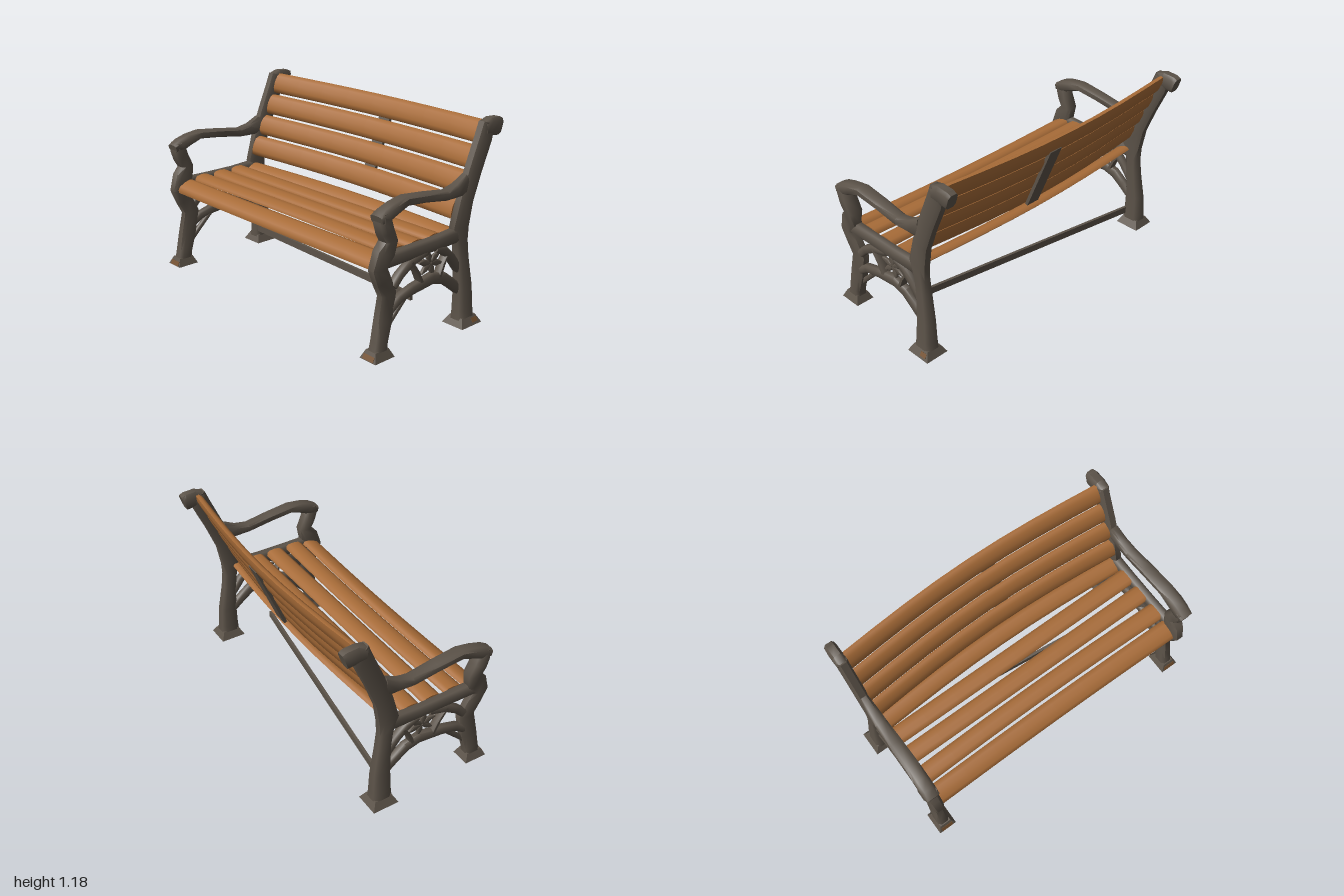
import * as THREE from 'three';
import { toCreasedNormals } from 'three/addons/utils/BufferGeometryUtils.js';

const iron = new THREE.MeshStandardMaterial({ color: 0x5c5349 });
iron.name = 'dark iron';
const wood = new THREE.MeshStandardMaterial({ color: 0xa86c38 });
wood.name = 'warm wood';
const rust = new THREE.MeshStandardMaterial({ color: 0x74502f });
rust.name = 'rust';

// Unit sections spanning -1..1: chamfered cast bar, and slat domed on its upper face
const BAR = [[1, 0.6], [0.6, 1], [-0.6, 1], [-1, 0.6], [-1, -0.6], [-0.6, -1], [0.6, -1], [1, -0.6]];
const SLAT = [[1, -0.5], [0.93, 0.25], [0.6, 0.8], [0, 1], [-0.6, 0.8], [-0.93, 0.25], [-1, -0.5], [-0.5, -1], [0.5, -1]];

// Closed solid through a list of equal-length rings of Vector3
function loft(name, rings, material) {
  const n = rings[0].length, last = rings.length - 1;
  const tris = [];
  for (let i = 0; i < last; i++) {
    for (let j = 0; j < n; j++) {
      const k = (j + 1) % n;
      const a = rings[i][j], b = rings[i][k], c = rings[i + 1][k], d = rings[i + 1][j];
      tris.push([a, b, c], [a, c, d]);
    }
  }
  for (let j = 1; j < n - 1; j++) {
    tris.push([rings[0][0], rings[0][j + 1], rings[0][j]]);
    tris.push([rings[last][0], rings[last][j], rings[last][j + 1]]);
  }
  // Turn the faces outward whichever way the rings run
  const cross = new THREE.Vector3();
  const volume = tris.reduce((s, [a, b, c]) => s + a.dot(cross.crossVectors(b, c)), 0);
  if (volume < 0) tris.forEach((t) => t.reverse());
  const geo = new THREE.BufferGeometry().setFromPoints(tris.flat());
  const mesh = new THREE.Mesh(toCreasedNormals(geo, 0.95), material);
  mesh.name = name;
  return mesh;
}

// Cast bar in the side plane; stations are [z, y, width, x, thickness]
function bar(name, side, stations) {
  const rings = stations.map(([z, y, w, x = 0.91, t = 0.05], i) => {
    const p = stations[Math.max(i - 1, 0)], q = stations[Math.min(i + 1, stations.length - 1)];
    const len = Math.hypot(q[0] - p[0], q[1] - p[1]);
    const nz = -(q[1] - p[1]) / len, ny = (q[0] - p[0]) / len;
    return BAR.map(([a, b]) => new THREE.Vector3(
      side * (x + b * t / 2), y + ny * a * w / 2, z + nz * a * w / 2));
  });
  return loft(name, rings, iron);
}

// Square flared foot standing on the ground
function foot(name, side, x, z, baseX, baseZ) {
  const rings = [[0, 1, 1], [0.05, 0.62, 0.68]].map(([y, kx, kz]) =>
    [[1, 1], [-1, 1], [-1, -1], [1, -1]].map(([a, b]) => new THREE.Vector3(
      side * (x + a * kx * baseX / 2), y, z + b * kz * baseZ / 2)));
  return loft(name, rings, iron);
}

// Plain box, centred on a point
function box(name, size, position, material) {
  const mesh = new THREE.Mesh(new THREE.BoxGeometry(...size), material);
  mesh.name = name;
  mesh.position.set(...position);
  return mesh;
}

// Wooden slat along x; bowZ and bowY shift its middle
function slat(name, z, y, angle, width, thick, bowZ, bowY) {
  const rings = [];
  const c = Math.cos(angle), s = Math.sin(angle);
  for (let i = 0; i <= 8; i++) {
    const x = -0.885 + 1.77 * i / 8;
    const bend = Math.cos(x / 0.885 * Math.PI / 2);
    rings.push(SLAT.map(([a, b]) => {
      const u = a * width / 2, v = b * thick / 2;
      return new THREE.Vector3(x, y + bowY * bend + u * s + v * c, z + bowZ * bend - u * c + v * s);
    }));
  }
  return loft(name, rings, wood);
}

function sideFrame(name, s) {
  const g = new THREE.Group();
  g.name = name;
  g.add(
    foot('rearFoot', s, 0.924, -0.245, 0.152, 0.168),
    foot('frontFoot', s, 0.905, 0.428, 0.12, 0.146),
    // Rear leg running up into the raked back post
    bar('rearLegAndPost', s, [
      [-0.243, 0.015, 0.13, 0.925, 0.105], [-0.243, 0.09, 0.118, 0.922, 0.092],
      [-0.242, 0.22, 0.108, 0.918, 0.082], [-0.225, 0.4, 0.086, 0.91, 0.072], [-0.214, 0.5, 0.088, 0.908, 0.068],
      [-0.2, 0.59, 0.125, 0.908, 0.066], [-0.236, 0.74, 0.108, 0.91, 0.066], [-0.297, 0.9, 0.11, 0.91, 0.066],
      [-0.372, 1.07, 0.112, 0.91, 0.066], [-0.4, 1.155, 0.1, 0.91, 0.066]]),
    // Squared head of the post
    bar('postHead', s, [
      [-0.365, 1.128, 0.08, 0.91, 0.068], [-0.41, 1.134, 0.1, 0.912, 0.07],
      [-0.475, 1.128, 0.104, 0.912, 0.07], [-0.493, 1.122, 0.096, 0.912, 0.066]]),
    // Front leg with its scrolled upright
    bar('frontLegAndUpright', s, [
      [0.428, 0.015, 0.1, 0.905, 0.08], [0.416, 0.09, 0.09, 0.905, 0.078],
      [0.39, 0.2, 0.104, 0.903, 0.07], [0.36, 0.35, 0.106, 0.9, 0.064], [0.405, 0.44, 0.1, 0.903, 0.066],
      [0.436, 0.51, 0.105, 0.906, 0.072], [0.4, 0.59, 0.125, 0.91, 0.08], [0.372, 0.66, 0.085, 0.915, 0.09],
      [0.402, 0.72, 0.085, 0.917, 0.092], [0.42, 0.775, 0.085, 0.917, 0.09], [0.43, 0.825, 0.045, 0.916, 0.084]]),
    // Armrest
    bar('armrest', s, [
      [0.462, 0.79, 0.05, 0.916, 0.084], [0.41, 0.806, 0.075, 0.916, 0.09], [0.345, 0.83, 0.068, 0.916, 0.09],
      [0.26, 0.851, 0.052, 0.913, 0.084], [0.1, 0.833, 0.05, 0.912, 0.08], [-0.06, 0.808, 0.054, 0.912, 0.074],
      [-0.15, 0.815, 0.075, 0.91, 0.066], [-0.24, 0.835, 0.12, 0.91, 0.056]]),
    bar('seatRail', s, [
      [0.42, 0.545, 0.08, 0.906, 0.065], [0.2, 0.543, 0.076, 0.906, 0.06], [0, 0.543, 0.076, 0.906, 0.06],
      [-0.2, 0.55, 0.085, 0.906, 0.062]]),
    // Arched braces between the legs
    bar('lowerArch', s, [
      [0.35, 0.255, 0.05], [0.28, 0.3, 0.05], [0.18, 0.325, 0.058], [0.02, 0.345, 0.066],
      [-0.07, 0.322, 0.066], [-0.14, 0.27, 0.062], [-0.22, 0.205, 0.06]]),
    bar('frontUpperArch', s, [
      [0.33, 0.385, 0.05], [0.28, 0.435, 0.05], [0.2, 0.485, 0.05], [0.08, 0.515, 0.04]]),
    bar('rearUpperArch', s, [
      [0, 0.515, 0.04], [-0.07, 0.485, 0.05], [-0.135, 0.425, 0.05], [-0.2, 0.34, 0.05]]),
    bar('frontStrut', s, [[0.2, 0.49, 0.024], [0.15, 0.42, 0.026], [0.11, 0.34, 0.03]]),
    bar('rearStrut', s, [[-0.1, 0.47, 0.024], [-0.06, 0.41, 0.026], [-0.03, 0.34, 0.03]]),
    bar('legGusset', s, [[0.375, 0.14, 0.03, 0.9, 0.03], [0.3, 0.215, 0.03, 0.9, 0.03], [0.2, 0.31, 0.03, 0.9, 0.03]]));
  // Flower ornament under the seat
  for (let i = 0; i < 6; i++) {
    const a = i * Math.PI / 3 + 0.3, dz = Math.cos(a), dy = Math.sin(a);
    g.add(bar('ornamentPetal', s, [[0.005, 0.016], [0.05, 0.04], [0.095, 0.012]].map(
      ([r, w]) => [0.035 + dz * r, 0.44 + dy * r * 0.75, w, 0.91, 0.02])));
  }
  // Rust on the sloping front of the front foot
  const patch = box('footRust', [0.08, 0.03, 0.004], [s * 0.905, 0.017, 0.494], rust);
  patch.rotation.x = -0.437;
  g.add(patch);
  return g;
}

export function createModel() {
  const model = new THREE.Group();
  model.name = 'parkBench';
  model.add(sideFrame('leftFrame', 1), sideFrame('rightFrame', -1));

  // Rust on the outside of the left rear foot
  const patch = box('footRust', [0.004, 0.028, 0.045], [0.986, 0.025, -0.28], rust);
  patch.rotation.z = 0.525;
  model.add(patch);

  // Seat slats, the front one rolled downward and the rear one tipped up
  model.add(
    slat('frontSeatSlat', 0.405, 0.54, 0.4, 0.132, 0.05, -0.01, -0.008),
    slat('seatSlat', 0.268, 0.566, 0.05, 0.12, 0.042, -0.014, 0),
    slat('seatSlat', 0.118, 0.566, 0, 0.12, 0.042, 0, 0),
    slat('seatSlat', -0.025, 0.566, 0, 0.118, 0.042, 0, 0),
    slat('rearSeatSlat', -0.142, 0.55, 0.45, 0.115, 0.042, -0.04, 0));

  // Back slats, raked and bowed rearward
  for (let i = 0; i < 4; i++) {
    model.add(slat('backSlat', -0.19 - i * 0.063, 0.7 + i * 0.135, 1.16, 0.136, 0.048, -0.055, -0.006));
  }

  // Upright strap behind the back slats
  const strap = box('backStrap', [0.09, 0.46, 0.02], [0.105, 0.86, -0.354], iron);
  strap.rotation.x = -0.39;
  model.add(strap);

  // Loose stretcher, fixed to one rear leg only
  const from = new THREE.Vector3(-0.89, 0.098, -0.2), to = new THREE.Vector3(0.75, 0.174, 0);
  const middle = from.clone().lerp(to, 0.5);
  const stretcher = box('stretcher', [0.018, 0.045, from.distanceTo(to)], middle.toArray(), iron);
  stretcher.lookAt(to);
  model.add(stretcher);
  return model;
}
